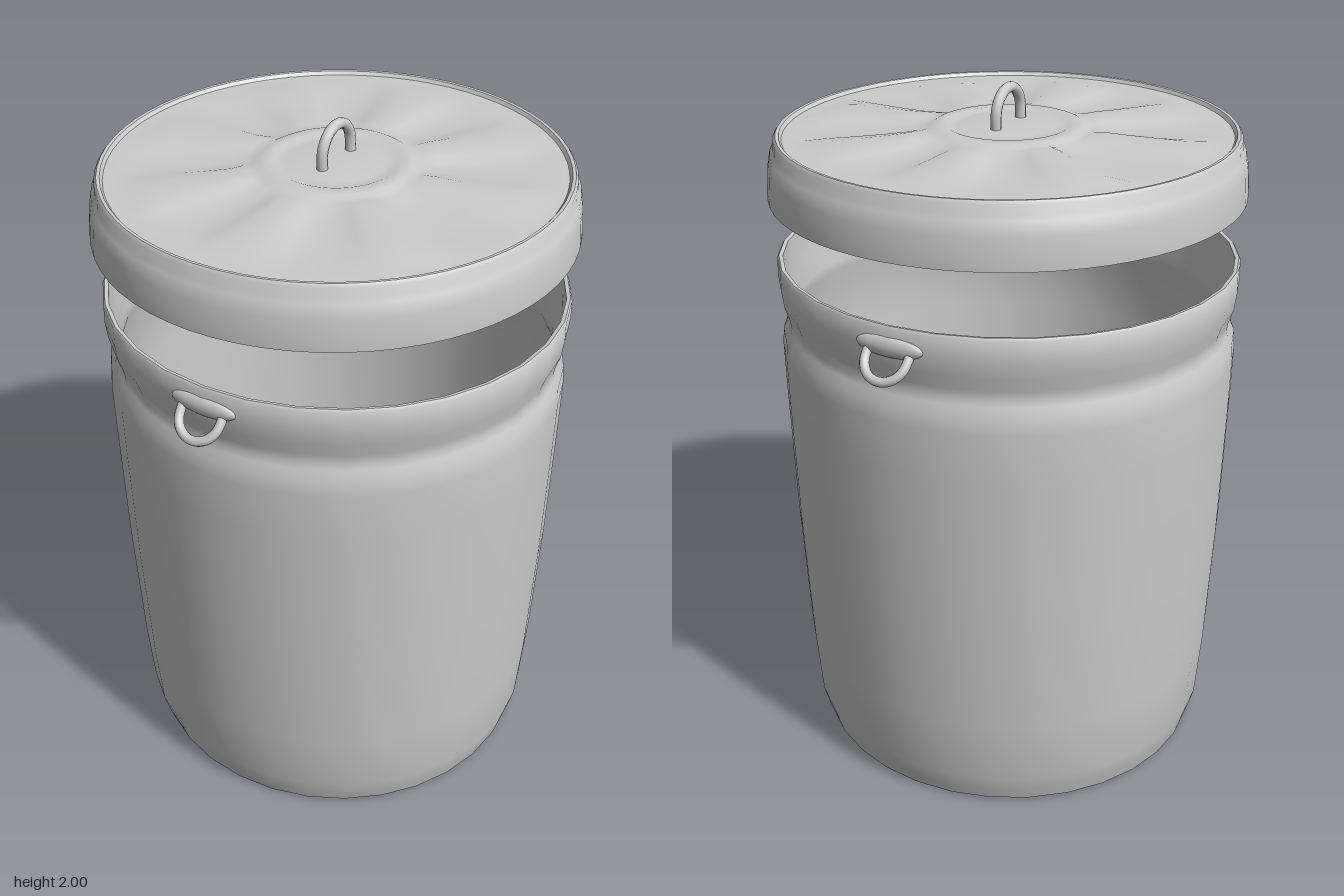
import * as THREE from 'three';
import { toCreasedNormals } from 'three/addons/utils/BufferGeometryUtils.js';

const material = new THREE.MeshStandardMaterial({ color: 0xcccccc, side: THREE.DoubleSide });

function addMesh(parent, name, geometry) {
  const mesh = new THREE.Mesh(geometry, material);
  mesh.name = name;
  parent.add(mesh);
  return mesh;
}

const lathe = (profile, sides) =>
  new THREE.LatheGeometry(profile.map(([r, y]) => new THREE.Vector2(r, y)), sides);

// A round rod bent into a half ring with short straight legs, open end at the bottom
function bentRod(radius, leg, thickness) {
  const points = [new THREE.Vector3(-radius, -leg, 0)];
  for (let i = 0; i <= 10; i++) {
    const a = Math.PI * (1 - i / 10);
    points.push(new THREE.Vector3(Math.cos(a) * radius, Math.sin(a) * radius, 0));
  }
  points.push(new THREE.Vector3(radius, -leg, 0));
  return new THREE.TubeGeometry(new THREE.CatmullRomCurve3(points), 32, thickness, 10);
}

// Raised radial wedges between the centre boss and the lid's edge
function pressRibs(geometry) {
  const p = geometry.attributes.position;
  for (let i = 0; i < p.count; i++) {
    const x = p.getX(i), y = p.getY(i), z = p.getZ(i);
    const r = Math.hypot(x, z);
    if (y < 1.855 || r < 0.2 || r > 0.59) continue;
    const fade = THREE.MathUtils.smoothstep(r, 0.2, 0.29) * (1 - THREE.MathUtils.smoothstep(r, 0.48, 0.59));
    const wave = THREE.MathUtils.clamp(1.8 * Math.cos(8 * Math.atan2(z, x) + 0.6), -1, 1);
    p.setY(i, y + 0.008 * fade * wave);
  }
  return geometry;
}

export function createModel() {
  const model = new THREE.Group();
  model.name = 'trashCan';

  // Hollow can: recessed base, tapering wall, pinched neck, flared rim, inner wall
  const can = addMesh(model, 'can', toCreasedNormals(lathe([
    [0, 0.025], [0.55, 0.025], [0.56, 0.003], [0.575, 0], [0.592, 0.008],
    [0.605, 0.05], [0.618, 0.1], [0.633, 0.3], [0.65, 0.7], [0.659, 1.1], [0.661, 1.25],
    [0.657, 1.3], [0.645, 1.325], [0.64, 1.345], [0.643, 1.37], [0.656, 1.41],
    [0.662, 1.46], [0.661, 1.515], [0.656, 1.522], [0.645, 1.52],
    [0.64, 1.42], [0.625, 1.36], [0.625, 1.33], [0.642, 1.28], [0.64, 1.1],
    [0.63, 0.7], [0.613, 0.3], [0.595, 0.08], [0.57, 0.045], [0, 0.045],
  ], 32), 0.7));
  can.scale.z = 0.977;

  // Two hanging loops, tilted outward under the rim
  for (const side of [1, -1]) {
    const holder = new THREE.Group();
    holder.name = side > 0 ? 'frontLoop' : 'backLoop';
    holder.rotation.y = side > 0 ? 0 : Math.PI;
    const loop = addMesh(holder, 'loop', bentRod(0.062, 0.035, 0.013));
    loop.rotation.set(-0.7, 0, Math.PI, 'XYZ');
    loop.position.set(0, 1.436, 0.655);
    // Shallow swelling the loop is fixed to
    const boss = addMesh(holder, 'loopMount', new THREE.SphereGeometry(1, 24, 12));
    boss.scale.set(0.1, 0.03, 0.02);
    boss.position.set(0, 1.465, 0.638);
    model.add(holder);
  }

  // Lid floating above the can, with a hollow underside
  const lid = new THREE.Group();
  lid.name = 'lid';
  model.add(lid);
  const cover = addMesh(lid, 'lidCover', toCreasedNormals(pressRibs(lathe([
    [0, 1.848], [0.59, 1.845], [0.625, 1.82], [0.648, 1.76], [0.652, 1.706],
    [0.665, 1.706], [0.665, 1.73], [0.66, 1.79], [0.652, 1.83], [0.643, 1.842],
    [0.641, 1.868], [0.634, 1.877], [0.625, 1.876], [0.618, 1.866], [0.6, 1.866],
    [0.56, 1.868], [0.5, 1.869], [0.42, 1.87], [0.34, 1.872], [0.28, 1.875], [0.24, 1.878],
    [0.22, 1.878], [0.205, 1.885], [0.17, 1.887], [0.155, 1.881], [0.13, 1.884], [0, 1.89],
  ], 64)), 0.7));
  cover.scale.z = 1.014;

  // Arched lid handle running front to back
  const handle = addMesh(lid, 'lidHandle', bentRod(0.071, 0.035, 0.015));
  handle.rotation.y = Math.PI / 2;
  handle.position.y = 1.914;

  return model;
}
